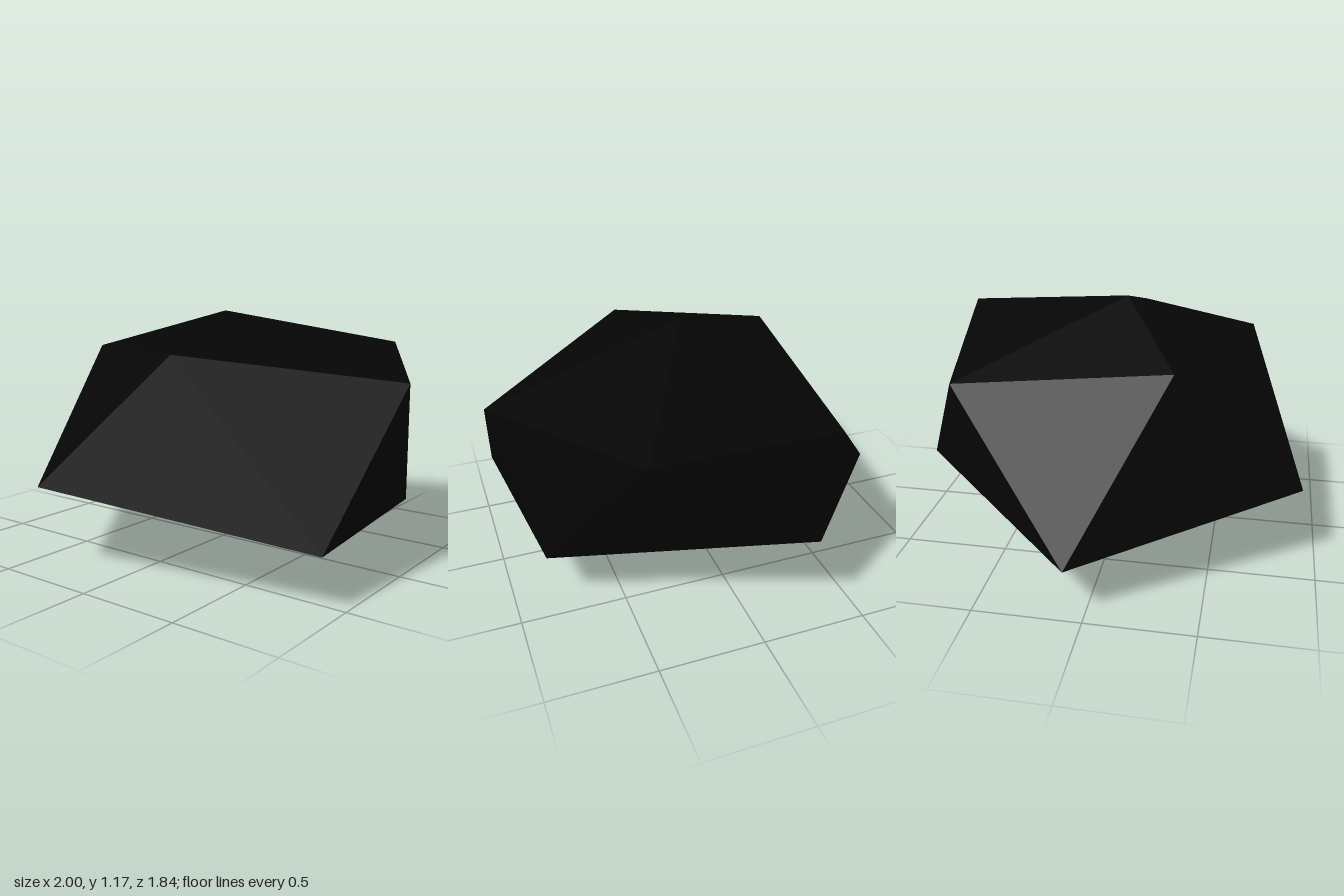
import * as THREE from 'three';

// A rough boulder: an irregular twenty-sided solid with two staggered rings of five corners.
const TOP = [0.03, 1.17, 0.02];
const BOTTOM = [-0.04, 0, -0.145];
const UPPER = [
  [0.19, 1.01, 0.63], [1.0, 0.88, -0.03], [0.5, 0.975, -0.92],
  [-0.47, 0.85, -0.73], [-0.53, 0.99, 0.32],
];
const LOWER = [
  [0.94, 0.25, 0.6], [0.84, 0.25, -0.39], [-0.3, 0.41, -0.9],
  [-1.0, 0.25, -0.08], [-0.37, 0.395, 0.915],
];

function boulderGeometry() {
  const corners = [];
  const face = (a, b, c) => corners.push(...a, ...b, ...c);
  for (let i = 0; i < 5; i++) {
    const j = (i + 1) % 5;
    face(TOP, UPPER[i], UPPER[j]); // crown
    face(UPPER[i], LOWER[i], UPPER[j]); // sides, pointing down
    face(LOWER[i], LOWER[j], UPPER[j]); // sides, pointing up
    face(LOWER[j], LOWER[i], BOTTOM); // underside
  }
  const geometry = new THREE.BufferGeometry();
  geometry.setAttribute('position', new THREE.Float32BufferAttribute(corners, 3));
  geometry.computeVertexNormals();
  return geometry;
}

export function createModel() {
  const group = new THREE.Group();
  group.name = 'rock';
  const material = new THREE.MeshStandardMaterial({ color: 0x050505, flatShading: true });
  const boulder = new THREE.Mesh(boulderGeometry(), material);
  boulder.name = 'boulder';
  group.add(boulder);
  return group;
}
